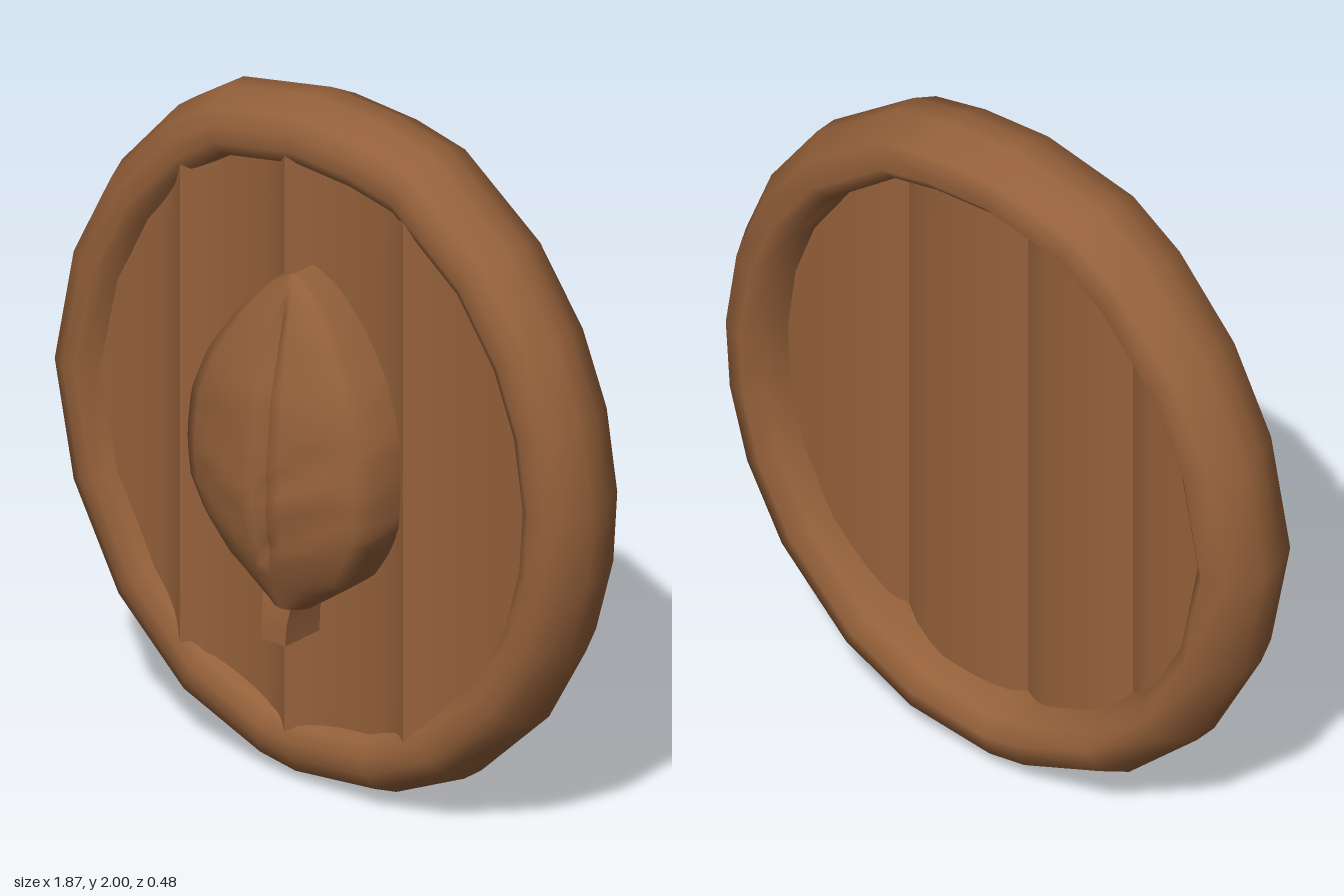
import * as THREE from 'three';

// Indexed sheet from a grid of points; wrapRows closes it into a loop
function sheet(rows, wrapRows = false) {
  const n = rows[0].length, index = [];
  const last = wrapRows ? rows.length : rows.length - 1;
  for (let i = 0; i < last; i++) {
    for (let j = 0; j < n - 1; j++) {
      const a = i * n + j, b = ((i + 1) % rows.length) * n + j;
      index.push(a, b, a + 1, b, b + 1, a + 1);
    }
  }
  const g = new THREE.BufferGeometry();
  g.setAttribute('position', new THREE.Float32BufferAttribute(rows.flat(2), 3));
  g.setIndex(index);
  g.computeVertexNormals();
  return g;
}

// Linear interpolation through [key, value] pairs
function lerpTable(table, k) {
  for (let i = 1; i < table.length; i++) {
    const [k0, v0] = table[i - 1], [k1, v1] = table[i];
    if (k <= k1) return v0 + (v1 - v0) * Math.max(0, (k - k0) / (k1 - k0));
  }
  return table[table.length - 1][1];
}

export function createModel() {
  const model = new THREE.Group();
  const wood = new THREE.MeshStandardMaterial({ color: 0x94603a, side: THREE.DoubleSide });
  wood.name = 'brownWood';
  const add = (geometry, name) => {
    const mesh = new THREE.Mesh(geometry, wood);
    mesh.name = name;
    model.add(mesh);
    return mesh;
  };

  // Rim: hand-hewn outline, counter-clockwise, with a section of even thickness
  const outline = [
    [0.93, 1.05], [0.89, 1.3], [0.8, 1.52], [0.64, 1.74], [0.36, 1.945], [0.18, 1.985],
    [-0.05, 2], [-0.36, 1.94], [-0.53, 1.83], [-0.73, 1.61], [-0.865, 1.35], [-0.935, 1],
    [-0.865, 0.65], [-0.7, 0.35], [-0.46, 0.13], [-0.18, 0.02], [-0.05, 0.0], [0.24, 0.03],
    [0.48, 0.14], [0.72, 0.37], [0.85, 0.6], [0.915, 0.83],
  ];
  const section = [ // [inset, z] from the back inner edge over the outside to the front
    [0.19, -0.07], [0.185, -0.13], [0.165, -0.2], [0.12, -0.24], [0.05, -0.215], [0, -0.12],
    [0, -0.05], [0.035, 0.03], [0.08, 0.052], [0.13, 0.06], [0.17, 0.035], [0.19, -0.02],
  ];
  const rim = outline.map(([x, y]) => section.map(([inset, z]) => {
    const s = 1 - inset / Math.hypot(x, y - 1);
    return [x * s, 1 + (y - 1) * s, z];
  }));
  add(sheet(rim, true), 'rim');

  // Planks: boxes trimmed to the oval, curled forward along the inner seams
  const seams = [-0.785, -0.44, -0.07, 0.35, 0.785];
  for (let i = 0; i < 4; i++) {
    const x0 = seams[i], w = seams[i + 1] - x0;
    const g = new THREE.BoxGeometry(1, 2, 2, 8, 8, 1);
    const p = g.attributes.position;
    for (let k = 0; k < p.count; k++) {
      const u = p.getX(k), v = p.getY(k), side = p.getZ(k);
      const x = x0 + (u + 0.5) * w;
      const h = 0.86 * Math.sqrt(Math.max(0, 1 - (x / 0.79) ** 2));
      const curl = Math.abs(u * 2) ** 3 * (Math.abs(x) < 0.6 ? 1 : 0.3);
      p.setXYZ(k, x, 1 + v * h, (side > 0 ? 0.005 : -0.125) + 0.045 * curl);
    }
    g.computeVertexNormals();
    add(g, 'plank' + (i + 1));
  }

  // Leaf emblem: domed cross-sections with a carved midrib and side veins
  const halfWidth = [[0.57, 0.06], [0.62, 0.13], [0.68, 0.21], [0.77, 0.275], [0.87, 0.325],
    [1.0, 0.335], [1.12, 0.325], [1.26, 0.27], [1.39, 0.18], [1.49, 0.09], [1.54, 0.005]];
  const ridge = [[0.57, 0.15], [0.68, 0.195], [0.78, 0.23], [0.95, 0.245], [1.2, 0.22],
    [1.39, 0.165], [1.54, 0.11]];
  const across = [1, 1, 0.85, 0.62, 0.4, 0.2, 0.08, 0, -0.08, -0.2, -0.4, -0.62, -0.85, -1, -1];
  const leaf = [];
  for (let i = 0; i <= 26; i++) {
    const y = 0.57 + (i / 26) * 0.97;
    const w = lerpTable(halfWidth, y), top = lerpTable(ridge, y);
    const edgeZ = 0.07 + (top - 0.07) * 0.42;
    leaf.push(across.map((t, j) => {
      const x = t * w;
      if (j === 0 || j === across.length - 1) return [x, y, -0.01];
      let z = edgeZ + (top - edgeZ) * (1 - Math.abs(t) ** 2.2);
      if (t === 0 && y > 0.72 && y < 1.45) z -= 0.035;
      for (const start of [0.76, 0.93]) {
        const d = Math.abs(y - start - Math.abs(x) * 0.75);
        if (Math.abs(t) < 0.7) z -= 0.012 * Math.max(0, 1 - d / 0.04);
      }
      return [x, y, z];
    }));
  }
  add(sheet(leaf), 'leaf');

  // Leaf stem: short block flaring up into the leaf
  const stem = new THREE.BoxGeometry(0.085, 0.17, 0.17, 1, 3, 1);
  const sp = stem.attributes.position;
  for (let k = 0; k < sp.count; k++) {
    const t = (sp.getY(k) + 0.085) / 0.17;
    sp.setX(k, sp.getX(k) * (1 + 0.4 * t * t));
    if (sp.getZ(k) > 0) sp.setZ(k, 0.085 - 0.03 * t * t);
  }
  stem.computeVertexNormals();
  add(stem, 'leafStem').position.set(-0.02, 0.55, 0.07);

  return model;
}
